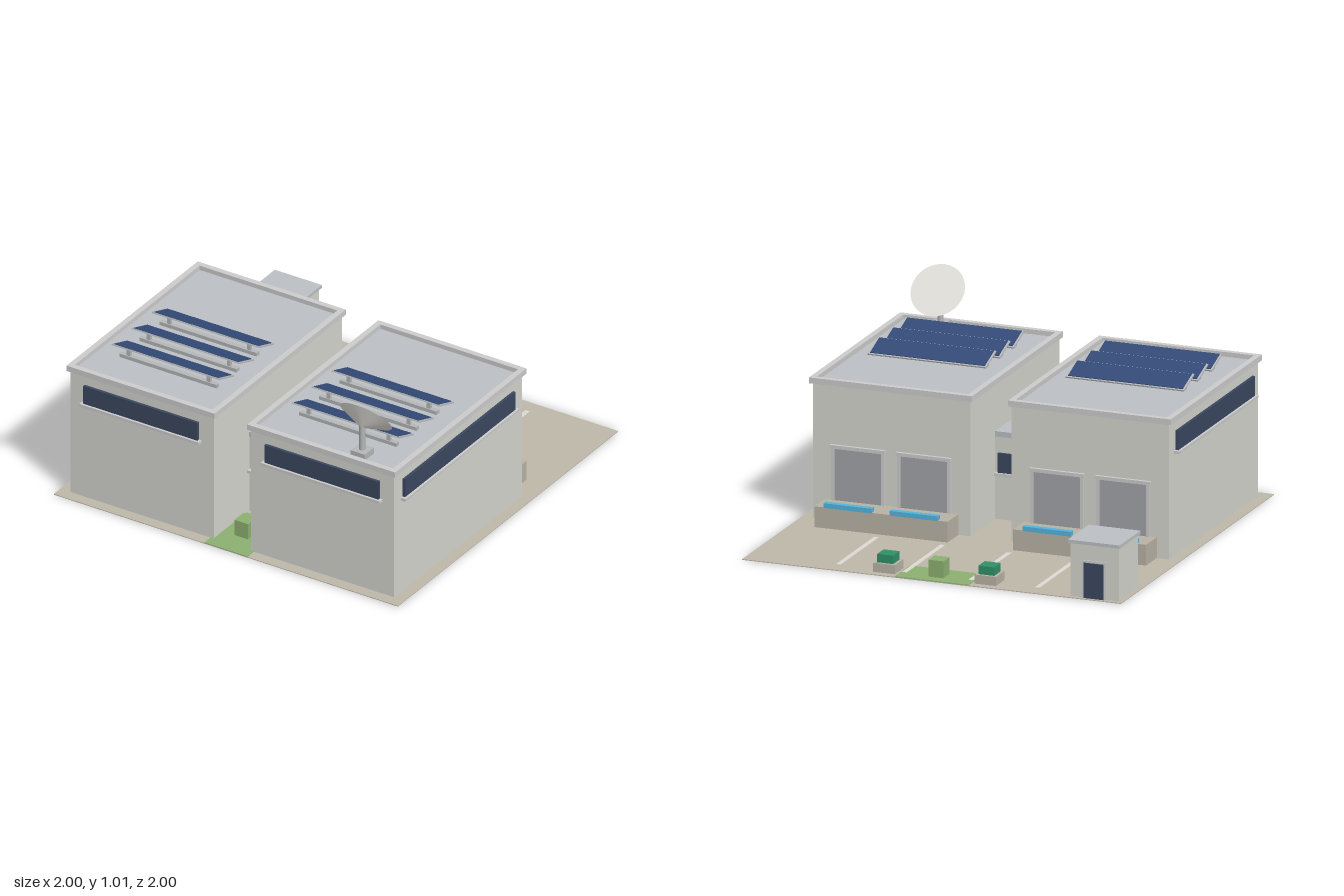
import * as THREE from 'three';

const paint = (color) => new THREE.MeshStandardMaterial({ color });
const M = {
  wall: paint(0xd4d4ce), trim: paint(0xd6d7d3), roof: paint(0xbcc0c4), glass: paint(0x3a475f),
  ground: paint(0xbdb7a9), grass: paint(0x8db070), bush: paint(0x2f9068), blue: paint(0x54b4dc),
  solar: paint(0x344b78), shutter: paint(0xa2a3a8), line: paint(0xdcdad2), dish: paint(0xe4e3dd),
  metal: paint(0xb4b6b8), stone: paint(0xb8b2a4),
};

// Box given by its lower and upper limits on each axis
function box(parent, name, mat, x0, x1, y0, y1, z0, z1) {
  const mesh = new THREE.Mesh(new THREE.BoxGeometry(x1 - x0, y1 - y0, z1 - z0), mat);
  mesh.position.set((x0 + x1) / 2, (y0 + y1) / 2, (z0 + z1) / 2);
  mesh.name = name;
  parent.add(mesh);
  return mesh;
}

function group(parent, name) {
  const g = new THREE.Group();
  g.name = name;
  parent.add(g);
  return g;
}

// Hollow rectangular rim around a roof
function parapet(parent, x0, x1, z0, z1, y0, h, w) {
  const shape = new THREE.Shape();
  shape.moveTo(x0, -z1).lineTo(x1, -z1).lineTo(x1, -z0).lineTo(x0, -z0).closePath();
  const hole = new THREE.Path();
  hole.moveTo(x0 + w, -z1 + w).lineTo(x0 + w, -z0 - w).lineTo(x1 - w, -z0 - w).lineTo(x1 - w, -z1 + w).closePath();
  shape.holes.push(hole);
  const mesh = new THREE.Mesh(new THREE.ExtrudeGeometry(shape, { depth: h, bevelEnabled: false }), M.trim);
  mesh.rotation.x = -Math.PI / 2;
  mesh.position.y = y0;
  mesh.name = 'parapet';
  parent.add(mesh);
}

// Tilted solar panel with frame, base rail and rear legs
function solarPanel(parent, x0, x1, z) {
  const g = group(parent, 'solarPanel');
  const slab = group(g, 'panelSlab');
  slab.position.set((x0 + x1) / 2, 0.75, z);
  slab.rotation.x = -0.34;
  const w = (x1 - x0) / 2;
  box(slab, 'panelFrame', M.metal, -w, w, -0.004, 0.003, -0.071, 0.071);
  box(slab, 'panelCells', M.solar, -w + 0.01, w - 0.01, 0.003, 0.006, -0.062, 0.066);
  box(g, 'panelRail', M.metal, x0 + 0.03, x1 - 0.03, 0.7, 0.72, z + 0.02, z + 0.045);
  for (const x of [x0 + 0.08, x1 - 0.08]) box(g, 'panelLeg', M.metal, x - 0.01, x + 0.01, 0.7, 0.755, z + 0.025, z + 0.04);
}

// One hall on the +x (s = 1) or -x (s = -1) side
function hall(parent, s) {
  const g = group(parent, s > 0 ? 'leftHall' : 'rightHall');
  // mirrored box: a is the inner limit, b the outer one
  const mbox = (name, mat, a, b, ...r) => box(g, name, mat, Math.min(s * a, s * b), Math.max(s * a, s * b), ...r);
  mbox('hallWalls', M.wall, 0.108, 0.94, 0.004, 0.695, -0.222, 0.94);
  mbox('hallRoof', M.roof, 0.12, 0.93, 0.695, 0.701, -0.21, 0.93);
  const [x0, x1] = s > 0 ? [0.095, 0.955] : [-0.955, -0.095];
  parapet(g, x0, x1, -0.237, 0.955, 0.695, 0.03, 0.03);

  // Ribbon windows on the front and outer side
  mbox('frontWindow', M.glass, 0.195, 0.858, 0.54, 0.64, 0.93, 0.955);
  mbox('frontSill', M.trim, 0.18, 0.873, 0.525, 0.54, 0.93, 0.967);
  mbox('sideWindow', M.glass, 0.93, 0.955, 0.54, 0.64, -0.138, 0.865);
  mbox('sideSill', M.trim, 0.93, 0.967, 0.525, 0.54, -0.155, 0.88);

  // Loading dock with shutters and bumpers
  mbox('loadingDock', M.stone, 0.172, 0.875, 0.004, 0.11, -0.362, -0.222);
  for (const x of [0.352, 0.7]) {
    mbox('dockShutter', M.shutter, x - 0.125, x + 0.125, 0.11, 0.375, -0.228, -0.22);
    mbox('shutterLintel', M.trim, x - 0.145, x + 0.145, 0.375, 0.393, -0.238, -0.22);
    for (const e of [-0.132, 0.132]) mbox('shutterJamb', M.trim, x + e - 0.008, x + e + 0.008, 0.11, 0.375, -0.235, -0.22);
    mbox('dockBumper', M.blue, x - 0.127, x + 0.127, 0.108, 0.132, -0.365, -0.334);
  }
  const [p0, p1] = s > 0 ? [0.21, 0.835] : [-0.835, -0.21];
  for (const z of [0.3, 0.483, 0.665]) solarPanel(g, p0, p1, z);
}

// Low corridor joining the halls
function connector(parent) {
  const g = group(parent, 'connector');
  box(g, 'connectorWalls', M.wall, -0.108, 0.108, 0.004, 0.425, 0.1, 0.618);
  box(g, 'connectorRoof', M.roof, -0.108, 0.108, 0.425, 0.453, 0.097, 0.621);
  for (const [z, d] of [[0.618, 1], [0.1, -1]]) {
    const zs = (t) => [Math.min(z - d * 0.01, z + d * t), Math.max(z - d * 0.01, z + d * t)];
    box(g, 'connectorWindow', M.glass, -0.09, 0.09, 0.245, 0.345, ...zs(0.013));
    box(g, 'connectorSill', M.trim, -0.105, 0.105, 0.23, 0.245, ...zs(0.024));
  }
}

// Small gatehouse in the back corner
function gatehouse(parent) {
  const g = group(parent, 'gatehouse');
  box(g, 'gatehouseWalls', M.wall, -0.98, -0.725, 0.004, 0.277, -0.977, -0.725);
  box(g, 'gatehouseRoof', M.roof, -0.988, -0.715, 0.277, 0.294, -0.988, -0.715);
  box(g, 'gatehouseDoorFrame', M.trim, -0.915, -0.785, 0.004, 0.195, -0.982, -0.97);
  box(g, 'gatehouseDoor', M.glass, -0.902, -0.798, 0.004, 0.184, -0.986, -0.97);
  box(g, 'gatehouseWindowFrame', M.trim, -0.73, -0.719, 0.115, 0.198, -0.897, -0.797);
  box(g, 'gatehouseWindow', M.glass, -0.73, -0.716, 0.127, 0.183, -0.885, -0.808);
}

// Satellite dish tilted up towards the back
function satelliteDish(parent) {
  const g = group(parent, 'satelliteDish');
  box(g, 'dishBase', M.metal, 0.665, 0.747, 0.7, 0.735, 0.823, 0.905);
  const pole = new THREE.Mesh(new THREE.CylinderGeometry(0.015, 0.015, 0.15, 12), M.metal);
  pole.position.set(0.706, 0.798, 0.865);
  pole.name = 'dishPole';
  const bowl = new THREE.Mesh(new THREE.CylinderGeometry(0.14, 0.015, 0.055, 28), M.dish);
  bowl.position.set(0.706, 0.884, 0.851);
  bowl.rotation.x = -0.89;
  bowl.name = 'dishBowl';
  g.add(pole, bowl);
}

export function createModel() {
  const model = new THREE.Group();
  model.name = 'industrialSite';
  box(model, 'ground', M.ground, -1, 1, 0, 0.004, -1, 1);
  box(model, 'frontLawn', M.grass, -0.125, 0.125, 0.004, 0.007, 0.645, 1);
  box(model, 'backLawn', M.grass, -0.195, 0.195, 0.004, 0.007, -1, -0.8);
  for (const x of [-0.525, -0.175, 0.175, 0.525]) box(model, 'parkingLine', M.line, x - 0.012, x + 0.012, 0.004, 0.0085, -0.92, -0.42);

  hall(model, 1);
  hall(model, -1);
  connector(model);
  gatehouse(model);
  satelliteDish(model);

  // Clipped shrubs and planters
  for (const z of [0.82, -0.902]) box(model, 'shrub', M.grass, -0.04, 0.04, 0.004, 0.093, z - 0.04, z + 0.04);
  for (const x of [-0.267, 0.267]) {
    box(model, 'planterBox', M.stone, x - 0.057, x + 0.057, 0.004, 0.05, -0.959, -0.845);
    box(model, 'planterShrub', M.bush, x - 0.042, x + 0.042, 0.05, 0.093, -0.944, -0.86);
  }
  return model;
}
